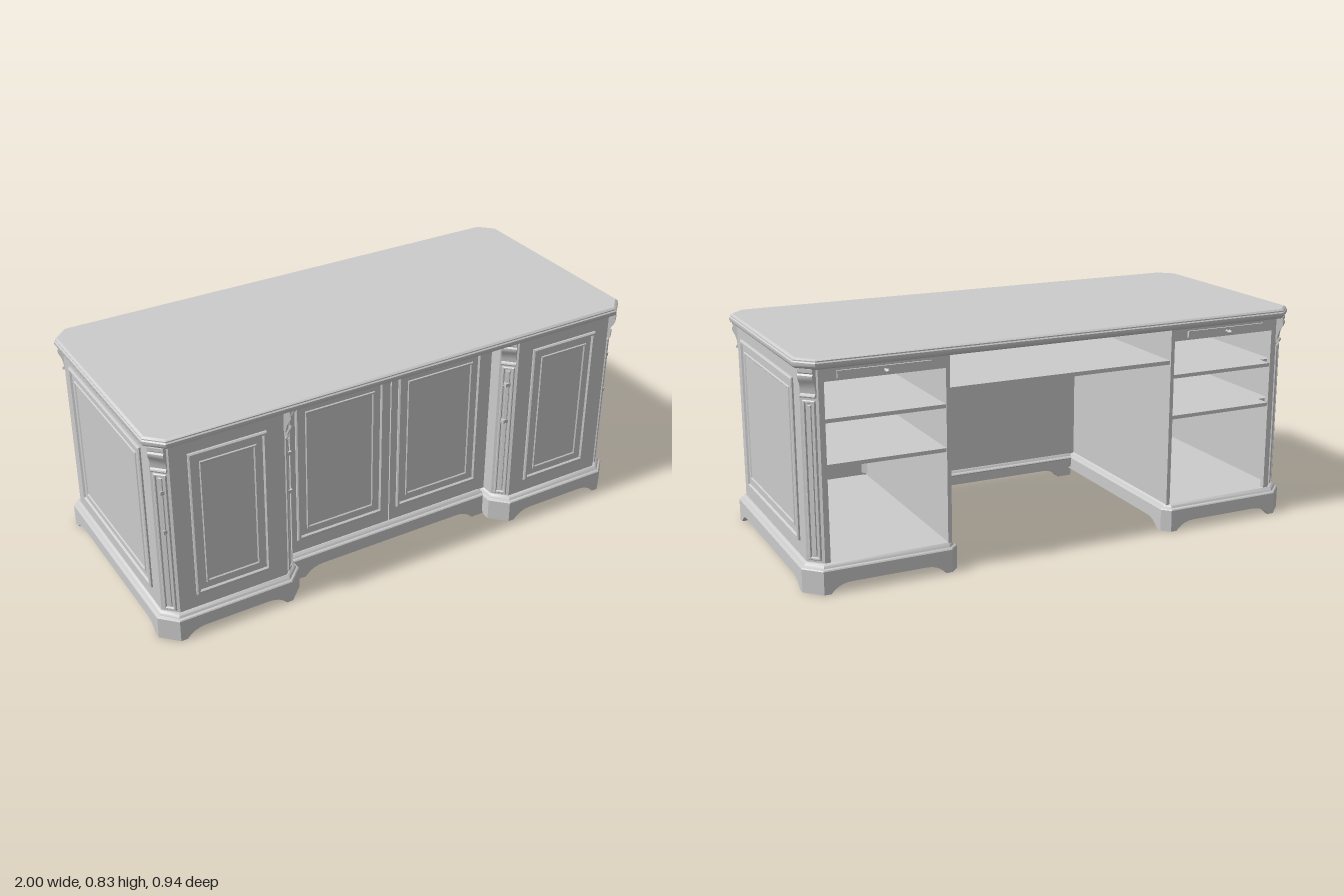
import * as THREE from 'three';
import { toCreasedNormals, mergeGeometries } from 'three/addons/utils/BufferGeometryUtils.js';

const material = new THREE.MeshStandardMaterial({ color: 0xcccccc });
const V = (x, y) => new THREE.Vector2(x, y);

// Inset a counter-clockwise polygon by d, keeping mitred corners
function inset(pts, d) {
  const n = pts.length;
  return pts.map((p, i) => {
    const a = p.clone().sub(pts[(i + n - 1) % n]).normalize();
    const b = pts[(i + 1) % n].clone().sub(p).normalize();
    const na = V(-a.y, a.x), nb = V(-b.y, b.x);
    return p.clone().addScaledVector(na.clone().add(nb), d / (1 + na.dot(nb)));
  });
}

// Stack of inset outlines with both ends capped; profile is [inset, height]
function loft(pts, profile) {
  const pos = [], n = pts.length;
  const rings = profile.map(([d, h]) => inset(pts, d).map(p => [p.x, p.y, h]));
  for (let r = 0; r + 1 < rings.length; r++) {
    for (let i = 0; i < n; i++) {
      const j = (i + 1) % n, A = rings[r], B = rings[r + 1];
      pos.push(...A[i], ...A[j], ...B[j], ...A[i], ...B[j], ...B[i]);
    }
  }
  const last = rings[rings.length - 1];
  for (const [a, b, c] of THREE.ShapeUtils.triangulateShape(pts, [])) {
    pos.push(...last[a], ...last[b], ...last[c], ...rings[0][a], ...rings[0][c], ...rings[0][b]);
  }
  const g = new THREE.BufferGeometry();
  g.setAttribute('position', new THREE.Float32BufferAttribute(pos, 3));
  return g;
}

// Floor-plan outlines are [x, z], listed front, right, back, left
const plan = list => list.map(([x, z]) => V(x, -z));
const loftUp = (list, profile) => loft(plan(list), profile).rotateX(-Math.PI / 2);
const extrude = (pts, depth) =>
  new THREE.ExtrudeGeometry(new THREE.Shape(pts), { depth, bevelEnabled: false });

const box = (x0, x1, y0, y1, z0, z1) => new THREE.BoxGeometry(x1 - x0, y1 - y0, z1 - z0)
  .translate((x0 + x1) / 2, (y0 + y1) / 2, (z0 + z1) / 2);
const place = (g, x, y, z, turn = 0) => g.rotateY(turn).translate(x, y, z);

function add(group, name, g) {
  const mesh = new THREE.Mesh(toCreasedNormals(g, 0.5), material);
  mesh.name = name;
  group.add(mesh);
}

// Mirrored copy across x with the triangle winding restored
function mirror(source, name) {
  const out = new THREE.Group();
  out.name = name;
  for (const m of source.children) {
    const g = m.geometry.clone().scale(-1, 1, 1);
    for (const key of Object.keys(g.attributes)) {
      const { array, itemSize: s } = g.attributes[key];
      for (let t = 0; t < array.length; t += 3 * s) {
        for (let k = 0; k < s; k++) {
          const swap = array[t + s + k];
          array[t + s + k] = array[t + 2 * s + k];
          array[t + 2 * s + k] = swap;
        }
      }
    }
    add(out, m.name, g);
  }
  return out;
}

const rect = (w, h) => [V(-w / 2, -h / 2), V(w / 2, -h / 2), V(w / 2, h / 2), V(-w / 2, h / 2)];

// Door panel with an outer moulding and an inner bead
const panel = (w, h) => loft(rect(w, h), [[0, -0.002], [0, 0.006], [0.005, 0.01], [0.012, 0.01],
  [0.017, 0.003], [0.04, 0.003], [0.043, 0.007], [0.048, 0.007], [0.052, 0.003]]);

const pilaster = () => loft(rect(0.048, 0.57), [[0, -0.002], [0, 0.005], [0.003, 0.008],
  [0.008, 0.008], [0.011, 0.002], [0.016, 0.002], [0.018, 0.006]]);

// Scroll bracket below the top
function corbel() {
  const pts = [[-0.005, 0.695], [0.012, 0.695], [0.014, 0.7], [0.012, 0.705], [0.006, 0.709],
    [0.008, 0.725], [0.013, 0.742], [0.021, 0.755], [0.026, 0.766], [0.026, 0.774],
    [0.021, 0.78], [0.024, 0.784], [0.024, 0.797], [-0.005, 0.797]].map(p => V(...p));
  return extrude(pts, 0.056).translate(0, 0, -0.028).rotateY(-Math.PI / 2);
}

// Plinth board from a to b; long boards get an arched cut-out between feet
function board([ax, az], [bx, bz], foot = 0.025, t = 0.02) {
  const L = Math.hypot(bx - ax, bz - az), s = new THREE.Shape();
  s.moveTo(0, 0);
  if (L > 0.2) {
    s.lineTo(foot, 0);
    s.bezierCurveTo(foot + 0.02, 0.022, foot + 0.04, 0.034, foot + 0.075, 0.035);
    s.lineTo(L - foot - 0.075, 0.035);
    s.bezierCurveTo(L - foot - 0.04, 0.034, L - foot - 0.02, 0.022, L - foot, 0);
  }
  s.lineTo(L, 0);
  s.lineTo(L, 0.085);
  s.lineTo(0, 0.085);
  const g = new THREE.ExtrudeGeometry(s, { depth: t, bevelEnabled: false, curveSegments: 6 });
  return place(g.translate(0, 0, -t), ax, 0, az, Math.atan2(az - bz, bx - ax));
}

const plinthCap = [[0.003, 0.045], [0.003, 0.08], [0, 0.085], [0.003, 0.089],
  [0.01, 0.092], [0.014, 0.1], [0.022, 0.106]];

function pedestal() {
  const g = new THREE.Group();
  g.name = 'pedestalLeft';

  // Plinth with feet and a stepped cap
  const base = [[0.49, 0.47], [0.94, 0.47], [1, 0.41], [1, -0.395], [0.94, -0.455],
    [0.46, -0.455], [0.43, -0.425], [0.43, 0.41]];
  add(g, 'plinthBoards', mergeGeometries(base.map((p, i) => board(p, base[(i + 1) % base.length]))));
  add(g, 'plinthCap', loftUp(base, plinthCap));

  // Carcass walls, open at the back
  const walls = [[0.5, 0.445], [0.925, 0.445], [0.975, 0.395], [0.975, -0.38], [0.925, -0.43],
    [0.905, -0.43], [0.905, -0.41], [0.955, -0.36], [0.955, 0.387], [0.917, 0.425],
    [0.465, 0.425], [0.465, -0.43], [0.45, -0.43], [0.45, 0.395]];
  add(g, 'carcass', extrude(plan(walls), 0.695).rotateX(-Math.PI / 2).translate(0, 0.102, 0));

  // Shelves and the pull-out tray
  for (const y of [0.45, 0.61]) add(g, 'shelf', box(0.46, 0.957, y - 0.007, y + 0.007, -0.365, 0.43));
  for (const y of [0.45, 0.61]) add(g, 'shelfEdge', box(0.46, 0.907, y - 0.007, y + 0.007, -0.425, -0.365));
  add(g, 'trayBoard', box(0.46, 0.957, 0.748, 0.76, -0.36, 0.43));
  add(g, 'trayRail', box(0.46, 0.91, 0.748, 0.797, -0.43, -0.36));
  add(g, 'trayFront', box(0.52, 0.86, 0.757, 0.783, -0.438, -0.425));
  const knob = [[0, 0], [0.005, 0], [0.003, 0.006], [0.003, 0.012], [0.008, 0.018],
    [0.008, 0.023], [0.004, 0.03], [0, 0.032]].map(p => V(...p));
  add(g, 'trayKnob', new THREE.LatheGeometry(knob, 12).rotateX(-Math.PI / 2).translate(0.69, 0.769, -0.438));

  // Raised panels
  add(g, 'frontPanel', place(panel(0.295, 0.585), 0.7125, 0.4525, 0.445));
  add(g, 'sidePanel', place(panel(0.645, 0.585), 0.975, 0.4525, 0.0075, Math.PI / 2));

  // Pilasters and corbels on the canted corners
  for (const [x, z, turn] of [[0.95, 0.42, 1], [0.475, 0.42, -1], [0.95, -0.405, 3]]) {
    add(g, 'pilaster', place(pilaster(), x, 0.4, z, turn * Math.PI / 4));
    add(g, 'corbel', place(corbel(), x, 0, z, turn * Math.PI / 4));
  }
  return g;
}

export function createModel() {
  const desk = new THREE.Group();
  desk.name = 'desk';

  // Top with canted corners and a moulded edge
  const top = [[-0.94, 0.467], [0.94, 0.467], [1, 0.407], [1, -0.395], [0.94, -0.455],
    [-0.94, -0.455], [-1, -0.395], [-1, 0.407]];
  add(desk, 'top', loftUp(top, [[0.02, 0.793], [0.01, 0.796], [0.003, 0.801], [0, 0.807],
    [0, 0.818], [0.004, 0.822], [0.004, 0.826], [0.012, 0.832]]));

  const left = pedestal();
  desk.add(left, mirror(left, 'pedestalRight'));

  // Recessed centre front with two doors
  const centre = new THREE.Group();
  centre.name = 'centre';
  add(centre, 'modestyPanel', box(-0.455, 0.455, 0.1, 0.797, 0.322, 0.338));
  for (const s of [-1, 1]) {
    add(centre, 'door', box(s * 0.226 - 0.2235, s * 0.226 + 0.2235, 0.104, 0.797, 0.335, 0.345));
    add(centre, 'doorPanel', place(panel(0.37, 0.585), s * 0.216, 0.4525, 0.345));
  }
  const skirt = [[-0.445, 0.37], [0.445, 0.37], [0.445, 0.305], [-0.445, 0.305]];
  add(centre, 'skirtBoard', board([-0.44, 0.37], [0.44, 0.37], 0.06, 0.04));
  add(centre, 'skirtCap', loftUp(skirt, plinthCap));
  add(centre, 'drawerShelf', box(-0.455, 0.455, 0.66, 0.675, -0.425, 0.325));
  desk.add(centre);
  return desk;
}
